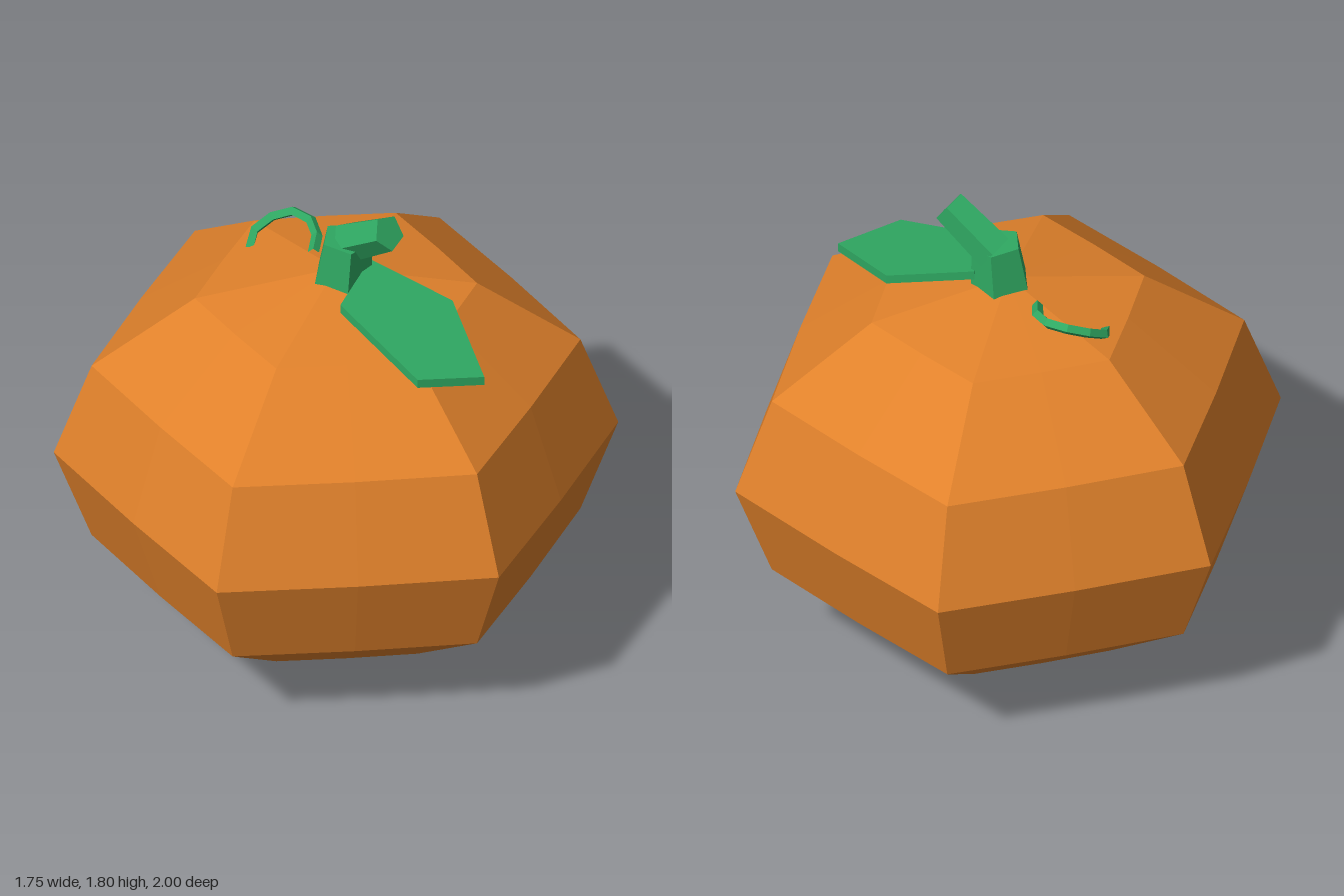
import * as THREE from 'three';

const orange = new THREE.MeshStandardMaterial({ color: 0xe0812b, flatShading: true });
const green = new THREE.MeshStandardMaterial({ color: 0x2fa862, flatShading: true, side: THREE.DoubleSide });

function part(name, geometry, material) {
  const mesh = new THREE.Mesh(geometry, material);
  mesh.name = name;
  return mesh;
}

// Five-sided tapered prism running from point a to point b
function prism(name, a, b, rA, rB, thetaStart) {
  const from = new THREE.Vector3(...a), to = new THREE.Vector3(...b);
  const dir = to.clone().sub(from);
  const mesh = part(name, new THREE.CylinderGeometry(rB, rA, dir.length(), 5, 1, false, thetaStart), green);
  mesh.quaternion.setFromUnitVectors(new THREE.Vector3(0, 1, 0), dir.clone().normalize());
  mesh.position.copy(from).add(to).multiplyScalar(0.5);
  return mesh;
}

// Squashed sphere with six ridges; the meridians between them are pulled in
function bodyGeometry() {
  const geo = new THREE.SphereGeometry(1, 12, 6);
  const pos = geo.attributes.position;
  for (let i = 0; i < pos.count; i++) {
    const k = (i % 13) % 2 === 0 ? 0.875 : 1;
    pos.setXYZ(i, pos.getX(i) * k, pos.getY(i) * 0.75 + 0.75, pos.getZ(i) * k);
  }
  geo.computeVertexNormals();
  return geo;
}

// Flat slab drawn in plan, then sloped down towards its tip
function leafGeometry() {
  const outline = [[0.11, -0.05], [0.43, -0.05], [0.67, 0.2], [0.48, 0.35], [0.11, 0.2]];
  const shape = new THREE.Shape(outline.map(([x, z]) => new THREE.Vector2(x, -z)));
  const geo = new THREE.ExtrudeGeometry(shape, { depth: 0.035, bevelEnabled: false });
  geo.rotateX(-Math.PI / 2);
  const pos = geo.attributes.position;
  for (let i = 0; i < pos.count; i++) {
    const slope = 0.25 * (pos.getX(i) - 0.11) + 0.12 * (pos.getZ(i) + 0.05);
    pos.setY(i, pos.getY(i) + 1.505 - slope);
  }
  geo.computeVertexNormals();
  return geo;
}

// Thin curl arching over the top of the body
function tendrilGeometry() {
  const path = new THREE.CatmullRomCurve3([
    [-0.13, 1.465, -0.09], [-0.17, 1.49, -0.2], [-0.27, 1.5, -0.24],
    [-0.36, 1.465, -0.2], [-0.395, 1.425, -0.14], [-0.38, 1.4, -0.09],
  ].map((p) => new THREE.Vector3(...p)));
  return new THREE.TubeGeometry(path, 6, 0.02, 4, false);
}

export function createModel() {
  const group = new THREE.Group();
  group.name = 'pumpkin';
  group.add(
    part('body', bodyGeometry(), orange),
    prism('stemBase', [0.02, 1.44, 0], [0.04, 1.645, 0], 0.113, 0.09, Math.PI),
    prism('stemTip', [0.04, 1.62, -0.02], [0.222, 1.752, 0.035], 0.075, 0.066, -Math.PI / 2),
    part('leaf', leafGeometry(), green),
    part('tendril', tendrilGeometry(), green),
  );
  return group;
}
